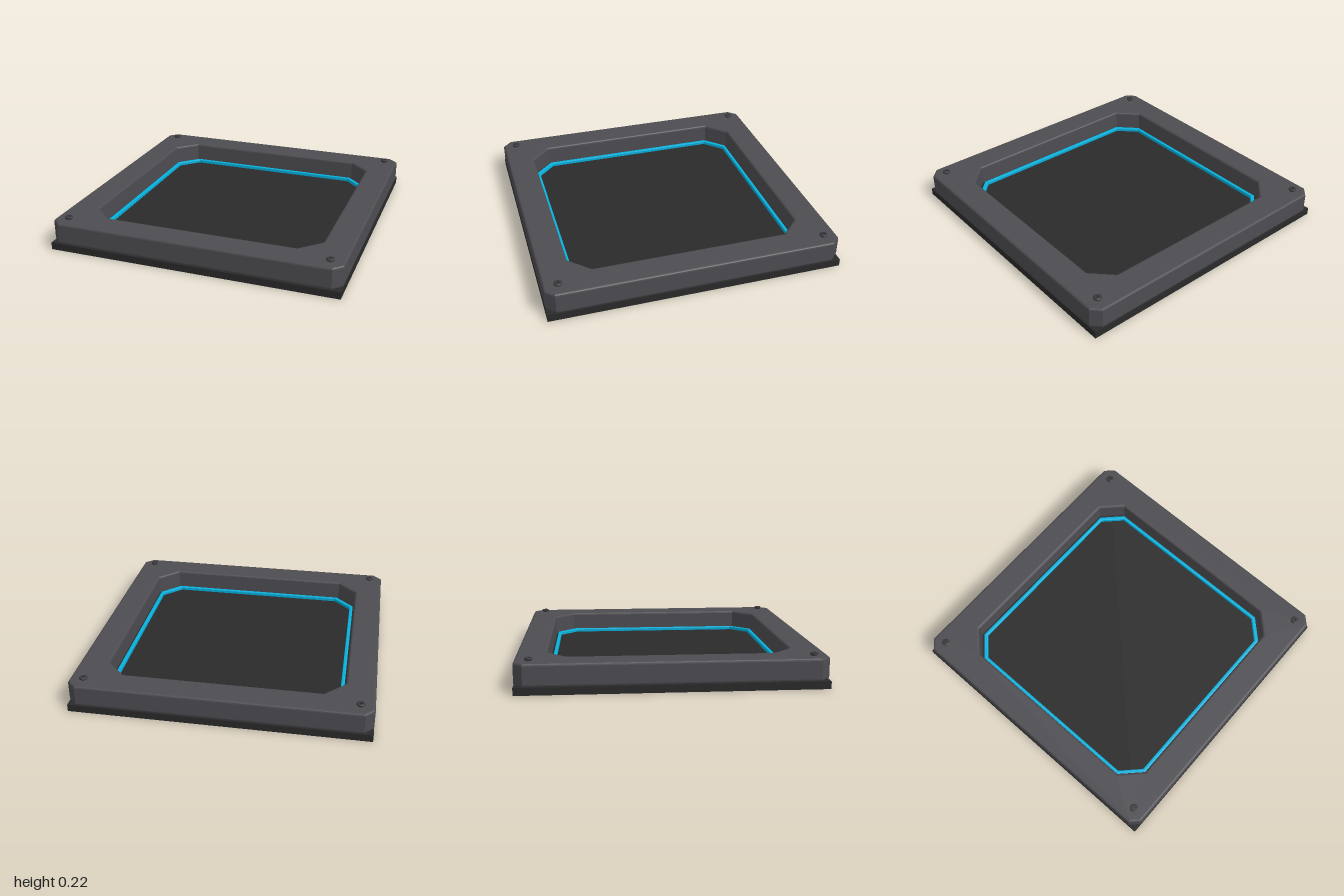
import * as THREE from 'three';

const paint = (name, color) => {
  const m = new THREE.MeshStandardMaterial({ color });
  m.name = name;
  return m;
};

// Corner points of a square of half-width h with its corners cut by c
const octagon = (h, c) => [
  [h, h - c], [h - c, h], [c - h, h], [-h, h - c],
  [-h, c - h], [c - h, -h], [h - c, -h], [h, c - h],
].map(([x, y]) => new THREE.Vector2(x, y));

// Octagonal ring lying flat from y0 to y1, with bevelled edges
function ring(outer, inner, y0, y1, bevel, segments) {
  const shape = new THREE.Shape(octagon(...outer));
  shape.holes.push(new THREE.Path(octagon(...inner).reverse()));
  const geo = new THREE.ExtrudeGeometry(shape, {
    depth: y1 - y0 - 2 * bevel, bevelEnabled: true, bevelThickness: bevel,
    bevelSize: bevel, bevelOffset: -bevel, bevelSegments: segments,
  });
  geo.rotateX(-Math.PI / 2);
  geo.translate(0, y0 + bevel, 0);
  return geo;
}

export function createModel() {
  const group = new THREE.Group();
  const frameGrey = paint('frame grey', 0x4d4c51);
  const baseBlack = paint('base black', 0x2a2a2a);
  const glowBlue = paint('glow blue', 0x06b0dc);
  const boltGrey = paint('bolt grey', 0x39393d);

  const add = (name, geo, mat) => {
    const mesh = new THREE.Mesh(geo, mat);
    mesh.name = name;
    group.add(mesh);
    return mesh;
  };

  // Square plate, also the floor of the recess
  const base = new THREE.BoxGeometry(2, 0.05, 2);
  base.translate(0, 0.025, 0);
  add('basePlate', base, baseBlack);

  // Raised frame with clipped corners and an octagonal opening
  add('frame', ring([1, 0.06], [0.802, 0.137], 0.05, 0.2, 0.016, 3), frameGrey);

  // Light strip along the foot of the opening
  add('lightStrip', ring([0.79, 0.135], [0.765, 0.125], 0.045, 0.075, 0.006, 2), glowBlue);

  // Bolts with a recessed socket, one in each corner
  const profile = [
    [0, 0.004], [0.011, 0.004], [0.011, 0.02], [0.021, 0.02],
    [0.027, 0.016], [0.027, 0.008], [0.02, 0.005], [0.02, -0.01],
  ].map(([r, y]) => new THREE.Vector2(r, y)).reverse();
  const boltGeo = new THREE.LatheGeometry(profile, 16).toNonIndexed();
  boltGeo.computeVertexNormals();
  for (const x of [-0.905, 0.905]) {
    for (const z of [-0.905, 0.905]) {
      add('bolt', boltGeo, boltGrey).position.set(x, 0.2, z);
    }
  }
  return group;
}
